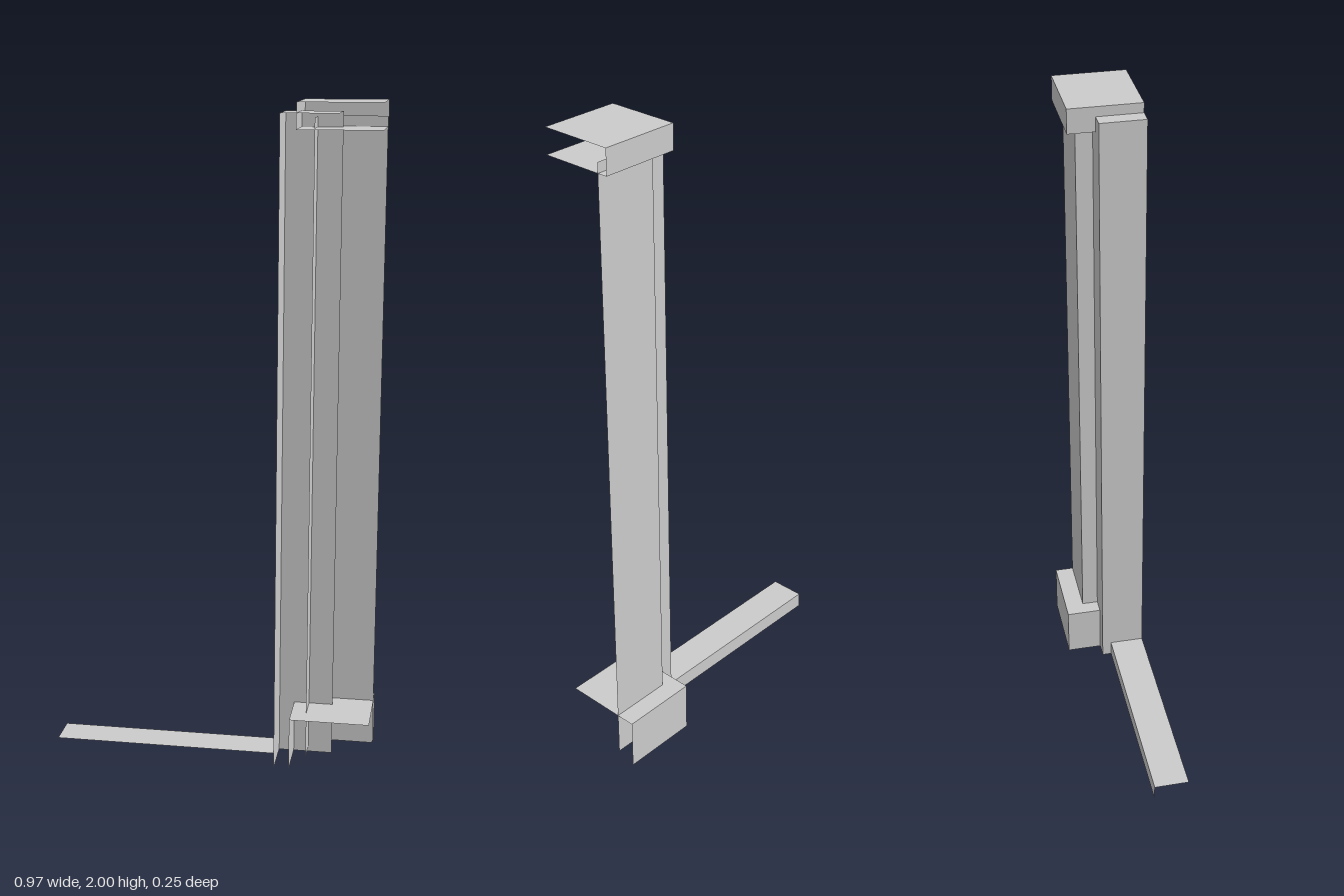
import * as THREE from 'three';

const material = new THREE.MeshStandardMaterial({ color: 0xcccccc, flatShading: true, side: THREE.DoubleSide });

// Open box made of outward-facing panels; only the listed sides exist.
function openBox(name, [x0, x1], [y0, y1], [z0, z1], sides) {
  const w = x1 - x0, h = y1 - y0, d = z1 - z0;
  const cx = (x0 + x1) / 2, cy = (y0 + y1) / 2, cz = (z0 + z1) / 2;
  const panels = {
    back: () => new THREE.PlaneGeometry(w, h).rotateY(Math.PI).translate(cx, cy, z0),
    side: () => new THREE.PlaneGeometry(d, h).rotateY(-Math.PI / 2).translate(x0, cy, cz),
    top: () => new THREE.PlaneGeometry(w, d).rotateX(-Math.PI / 2).translate(cx, y1, cz),
    bottom: () => new THREE.PlaneGeometry(w, d).rotateX(Math.PI / 2).translate(cx, y0, cz),
  };
  const group = new THREE.Group();
  group.name = name;
  for (const side of sides) {
    const mesh = new THREE.Mesh(panels[side](), material);
    mesh.name = name + side[0].toUpperCase() + side.slice(1);
    group.add(mesh);
  }
  return group;
}

export function createModel() {
  const model = new THREE.Group();
  model.name = 'doorFrameCorner';
  const right = 0.483, front = 0.124;

  model.add(
    // Low threshold strip running away from the post
    openBox('threshold', [-0.483, 0.195], [0, 0.05], [0.015, front], ['back', 'top']),
    // Inner jamb that the threshold meets
    openBox('jamb', [0.195, 0.36], [0, 1.97], [-0.014, front], ['back', 'side', 'top']),
    // Tall column behind the jamb
    openBox('column', [0.287, right], [0.02, 1.955], [-0.065, 0.072], ['back', 'side']),
    // Block at the foot of the column
    openBox('baseBlock', [0.241, right], [0, 0.163], [-0.124, front], ['back', 'side', 'top']),
    // Cap at the head of the column
    openBox('capBlock', [0.241, right], [1.925, 2], [-0.096, front], ['back', 'side', 'top', 'bottom']),
  );
  return model;
}
